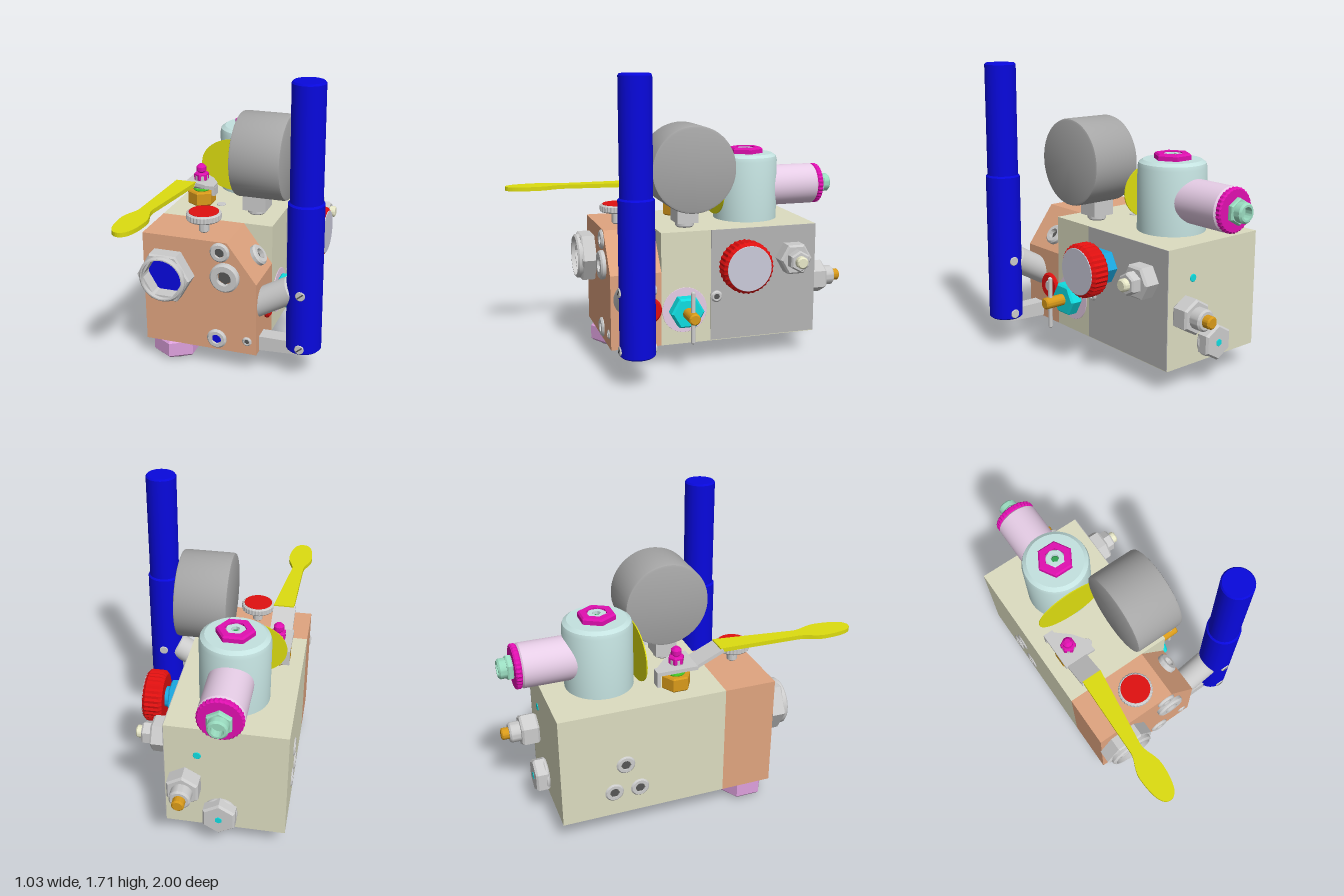
import * as THREE from 'three';
import { toCreasedNormals } from 'three/addons/utils/BufferGeometryUtils.js';

const ORANGE = 0xe0a47f, BEIGE = 0xdcdcc0, BLUE = 0x0808dd, GREY = 0xcccccc, RED = 0xe01010;
const YELLOW = 0xdcdc10, GOLD = 0xd89a1a, PINK = 0xdda0dd, LILAC = 0xe6cde6, MAGENTA = 0xe010b0;
const AQUA = 0xc4e2e0, MINT = 0x9adcc0, CYAN = 0x10dce0, SKY = 0x1ba8e0, CREAM = 0xe8e8c8, DARK = 0x555555;
const UP = [0, 1, 0], DOWN = [0, -1, 0], FRONT = [0, 0, 1], BACK = [0, 0, -1], PX = [1, 0, 0], NX = [-1, 0, 0];

export function createModel() {
  const root = new THREE.Group();

  function add(name, color, geo, pos = [0, 0, 0], side = THREE.FrontSide) {
    const m = new THREE.Mesh(geo, new THREE.MeshStandardMaterial({ color, side }));
    m.name = name;
    m.position.set(...pos);
    root.add(m);
    return m;
  }
  // Turned part: profile of [radius, height], base at pos, pointing along dir
  function turn(name, color, profile, pos, dir, { segs = 40, twist = 0, teeth = 0, open = false } = {}) {
    const n = teeth ? teeth * 2 : segs;
    let geo = new THREE.LatheGeometry(profile.map(p => new THREE.Vector2(...p)), n);
    if (teeth) {
      const p = geo.attributes.position;
      for (let i = 0; i < p.count; i++) {
        const k = Math.floor(i / profile.length) % 2 ? 0.96 : 1;
        p.setXYZ(i, p.getX(i) * k, p.getY(i), p.getZ(i) * k);
      }
    }
    geo = toCreasedNormals(geo.rotateY(twist), 0.6);
    const m = add(name, color, geo, pos, open ? THREE.DoubleSide : THREE.FrontSide);
    m.quaternion.setFromUnitVectors(new THREE.Vector3(0, 1, 0), new THREE.Vector3(...dir).normalize());
    return m;
  }
  // Chamfered cylinder, hex (segs 6) or knurled knob
  const rod = (name, color, r, h, pos, dir, opt, c = 0.008) =>
    turn(name, color, [[0, 0], [r - c, 0], [r, c], [r, h - c], [r - c, h], [0, h]], pos, dir, opt);
  // Ring with an open middle
  const ring = (name, color, r, ri, h, pos, dir, opt) =>
    turn(name, color, [[ri, 0], [r, 0], [r, h - 0.01], [r - 0.01, h], [ri, h], [ri, 0]], pos, dir, opt);
  // Open cup sunk along dir
  const cup = (name, color, r, depth, pos, dir) =>
    turn(name, color, [[r, 0], [r, depth], [0, depth]], pos, dir, { open: true });
  const at = (p, d, t) => p.map((v, i) => v + d[i] * t);
  const hex = { segs: 6 }, hexTwist = { segs: 6, twist: Math.PI / 6 };

  // Round plug with a hex socket
  function plug(name, r, pos, dir, h = 0.02, inner = DARK) {
    ring(name, GREY, r, r * 0.5, h, pos, dir);
    rod(name + 'Socket', inner, r * 0.52, 0.004, pos, dir, hex, 0.001);
  }
  function extrude(name, color, pts, depth, holes = []) {
    const s = new THREE.Shape(pts.map(p => new THREE.Vector2(...p)));
    for (const [x, y, r] of holes) s.holes.push(new THREE.Path().absarc(x, y, r, 0, Math.PI * 2, true));
    return add(name, color, new THREE.ExtrudeGeometry(s, { depth, bevelEnabled: false, curveSegments: 32 }));
  }
  const box = (name, color, w, h, d, pos) => add(name, color, new THREE.BoxGeometry(w, h, d), pos);

  // Rear block: drilled lower layer and solid upper layer
  const bores = [[0.01, -0.255], [-0.37, -0.62]];
  const lower = extrude('rearBlockBase', BEIGE, [[-0.51, -0.19], [0.16, -0.19], [0.16, 0.77], [-0.51, 0.77]],
    0.12, bores.map(([x, z]) => [x, -z, 0.105]));
  lower.rotation.x = -Math.PI / 2;
  lower.position.y = 0.13;
  box('rearBlock', BEIGE, 0.67, 0.55, 0.96, [-0.175, 0.525, -0.29]);
  box('sidePanel', 0xb4b4b4, 0.004, 0.665, 0.66, [0.162, 0.4675, -0.44]);
  for (const [x, z] of bores) {
    ring('portRim', BLUE, 0.118, 0.1, 0.012, [x, 0.136, z], DOWN);
    cup('port', BLUE, 0.102, 0.1, [x, 0.13, z], UP);
  }
  for (const [x, z] of [[0.07, -0.67], [-0.34, -0.11], [-0.45, -0.17]])
    rod('bottomPlug', GREY, 0.022, 0.006, [x, 0.132, z], DOWN, {}, 0.002);

  // Front block with one sloped corner
  extrude('frontBlock', ORANGE, [[-0.51, 0.13], [0.16, 0.13], [0.16, 0.57], [-0.01, 0.8], [-0.51, 0.8]], 0.3)
    .position.z = 0.19;
  plug('frontPlugTop', 0.057, [-0.05, 0.74, 0.49], FRONT, 0.015);
  plug('frontPlugMiddle', 0.085, [-0.02, 0.595, 0.49], FRONT, 0.03);
  plug('frontPlugBottom', 0.058, [-0.075, 0.2, 0.49], FRONT, 0.015, BLUE);
  plug('frontScrew', 0.03, [0.105, 0.21, 0.49], FRONT, 0.008);
  plug('slopePlug', 0.062, [0.1, 0.655, 0.29], [0.23, 0.17, 0], 0.03);
  ring('sideRedRing', RED, 0.08, 0.035, 0.02, [0.16, 0.35, 0.27], PX);
  rod('sideRedCentre', GREY, 0.035, 0.024, [0.16, 0.35, 0.27], PX);

  // Hex port on the front face
  const port = [-0.36, 0.575, 0.49];
  ring('frontPortNut', GREY, 0.158, 0.122, 0.085, port, FRONT, hexTwist);
  ring('frontPortCollar', GREY, 0.135, 0.118, 0.11, port, FRONT);
  cup('frontPortLining', BLUE, 0.12, 0.1, at(port, FRONT, 0.108), BACK);

  // Foot
  rod('footNut', PINK, 0.14, 0.11, [-0.37, 0.13, 0.365], DOWN, hex, 0.014);
  ring('footRing', GREY, 0.09, 0.065, 0.05, [-0.37, 0.05, 0.365], DOWN);
  rod('footBore', DARK, 0.07, 0.012, [-0.37, 0.025, 0.365], DOWN);

  // Knob on top of the front block
  rod('topKnobStem', GREY, 0.03, 0.09, [-0.185, 0.8, 0.37], UP);
  rod('topKnobRim', GREY, 0.1, 0.045, [-0.185, 0.875, 0.37], UP, { teeth: 30 });
  rod('topKnobFace', RED, 0.085, 0.006, [-0.185, 0.918, 0.37], UP, {}, 0.002);

  // Pump handle and linkage
  turn('handle', BLUE, [[0, 0.18], [0.092, 0.18], [0.1, 0.188], [0.1, 1.05], [0.09, 1.06],
    [0.09, 1.7], [0.082, 1.71], [0, 1.71]], [0.41, 0, 0.395], UP);
  for (const y of [0.215, 0.545]) {
    rod('handlePin', GREY, 0.027, 0.21, [0.41, y, 0.29], FRONT, {}, 0.003);
    box('handlePinSlot', DARK, 0.045, 0.007, 0.004, [0.41, y, 0.5]).rotation.z = 0.7;
  }
  rod('pumpArm', GREY, 0.078, 0.27, [0.11, 0.4, 0.395], [0.2, 0.115, 0]);
  extrude('lowerLink', GREY, [[0.12, 0.135], [0.4, 0.15], [0.45, 0.18], [0.44, 0.23], [0.3, 0.225], [0.12, 0.225]], 0.09)
    .position.z = 0.35;

  // Pressure gauge
  const gauge = [-0.085, 1.16, 0.005];
  turn('gaugeBody', 0xa6a6a6, [[0, 0], [0.235, 0], [0.246, 0.004], [0.25, 0.015], [0.25, 0.285],
    [0.246, 0.296], [0.235, 0.3], [0, 0.3]], gauge, PX, { segs: 64 });
  box('gaugeStem', GREY, 0.14, 0.09, 0.13, [0.01, 0.875, 0.005]);
  rod('gaugeNeck', GREY, 0.055, 0.05, [0.01, 0.8, 0.005], UP);

  // Yellow disc standing between gauge and valve
  const disc = add('indicatorDisc', YELLOW, new THREE.CylinderGeometry(1, 1, 1, 48).rotateX(Math.PI / 2), [-0.21, 0.99, -0.243]);
  disc.scale.set(0.22, 0.165, 0.006);

  // Valve tower with side solenoid
  const tower = [-0.17, 0.8, -0.44];
  turn('valveTower', AQUA, [[0, 0], [0.195, 0], [0.195, 0.36], [0.188, 0.384], [0.165, 0.4], [0, 0.4]], tower, UP, { segs: 56 });
  ring('towerNut', MAGENTA, 0.108, 0.06, 0.035, at(tower, UP, 0.4), UP, hexTwist);
  ring('towerInnerNut', AQUA, 0.065, 0.025, 0.03, at(tower, UP, 0.4), UP, hex);
  rod('towerCentre', 0x30a050, 0.026, 0.015, at(tower, UP, 0.4), UP);
  const sol = [-0.17, 0.99, -0.5];
  rod('solenoid', LILAC, 0.125, 0.385, sol, BACK);
  rod('solenoidRing', MAGENTA, 0.125, 0.036, at(sol, BACK, 0.385), BACK, { teeth: 32 });
  rod('connectorNut', MINT, 0.075, 0.035, at(sol, BACK, 0.42), BACK, hex);
  ring('connectorTube', MINT, 0.056, 0.035, 0.05, at(sol, BACK, 0.45), BACK);

  // Lever valve: hex base, hub plate, sloped neck and long handle
  const hub = [-0.36, 0.8, -0.05];
  rod('leverBase', GOLD, 0.084, 0.085, hub, UP, hex);
  rod('leverSeal', 0x40c020, 0.05, 0.02, at(hub, UP, 0.08), UP);
  rod('leverStem', GREY, 0.04, 0.1, at(hub, UP, 0.085), UP);
  rod('leverNut', MAGENTA, 0.045, 0.05, at(hub, UP, 0.945), UP, hex).position.y = 0.945;
  rod('leverNutCap', MAGENTA, 0.03, 0.055, [hub[0], 0.99, hub[2]], UP, {}, 0.015);
  const plate = extrude('leverHub', GREY, [[-0.44, -0.05], [-0.44, 0.17], [-0.38, 0.17], [-0.3, 0.1], [-0.25, 0.03],
    [-0.245, -0.05]], 0.022);
  plate.rotation.x = -Math.PI / 2;
  plate.position.y = 0.925;
  box('leverStop', GREY, 0.06, 0.09, 0.02, [-0.41, 0.902, -0.178]);
  box('leverHook', GREY, 0.02, 0.05, 0.06, [-0.255, 0.91, 0.01]);
  const neck = box('leverNeck', GREY, 0.13, 0.02, 0.175, [-0.365, 0.972, 0.125]);
  neck.rotation.x = -0.43;
  const grip = new THREE.Shape();
  grip.moveTo(-0.42, -0.19);
  grip.lineTo(-0.43, -0.66);
  grip.bezierCurveTo(-0.43, -0.72, -0.472, -0.75, -0.472, -0.82);
  grip.bezierCurveTo(-0.47, -0.92, -0.455, -1, -0.4, -1);
  grip.bezierCurveTo(-0.35, -1, -0.33, -0.92, -0.326, -0.82);
  grip.bezierCurveTo(-0.326, -0.75, -0.362, -0.72, -0.36, -0.66);
  grip.lineTo(-0.3, -0.19);
  const handle = add('leverHandle', YELLOW, new THREE.ExtrudeGeometry(grip, { depth: 0.024, bevelEnabled: false }), [0, 0.996, 0]);
  handle.rotation.x = -Math.PI / 2;
  rod('topPin', GREY, 0.028, 0.008, [-0.235, 0.798, -0.05], UP, {}, 0.002);

  // Fittings on the +x side
  const knob = [0.16, 0.61, -0.27];
  rod('sideKnobNut', SKY, 0.1, 0.075, knob, PX, hex);
  rod('sideKnobStem', SKY, 0.06, 0.12, knob, PX);
  rod('sideKnob', RED, 0.152, 0.115, at(knob, PX, 0.1), PX, { teeth: 32 }, 0.018);
  rod('sideKnobFace', 0xcacada, 0.132, 0.006, at(knob, PX, 0.212), PX, {}, 0.002);
  const relief = [0.16, 0.61, -0.61];
  rod('reliefNut', GREY, 0.1, 0.1, relief, PX, hex, 0.012);
  rod('reliefLocknut', GREY, 0.065, 0.155, relief, PX, hexTwist, 0.01);
  rod('reliefTip', CREAM, 0.035, 0.19, relief, PX);
  const pin = [0.16, 0.335, 0.05];
  rod('pinBacking', LILAC, 0.135, 0.004, pin, PX, {}, 0.001);
  rod('pinNut', CYAN, 0.1, 0.08, pin, PX, hex, 0.012);
  rod('pinRod', GOLD, 0.034, 0.208, pin, PX);
  rod('crossBar', GREY, 0.013, 0.31, [0.325, 0.18, 0.05], UP);
  plug('panelScrew', 0.036, [0.163, 0.4, -0.145], PX, 0.01);

  // Fittings on the back
  const cartridge = [0.045, 0.44, -0.77];
  rod('cartridgeNut', GREY, 0.1, 0.105, cartridge, BACK, hex, 0.012);
  rod('cartridgeLocknut', GREY, 0.06, 0.17, cartridge, BACK, {}, 0.01);
  rod('cartridgeTip', GOLD, 0.035, 0.215, cartridge, BACK);
  const back = [-0.15, 0.245, -0.77];
  rod('backPlugFlange', GREY, 0.095, 0.025, back, BACK);
  rod('backPlugNut', GREY, 0.103, 0.08, back, BACK, hex, 0.012);
  rod('backPlugCentre', CYAN, 0.022, 0.083, back, BACK, hex, 0.002);
  rod('backDot', CYAN, 0.022, 0.006, [-0.02, 0.62, -0.768], BACK, {}, 0.002);

  // Three plugs on the -x side
  for (const [y, z] of [[0.45, -0.4], [0.28, -0.32], [0.28, -0.47]])
    plug('sidePlug', 0.056, [-0.51, y, z], NX, 0.008);

  return root;
}
